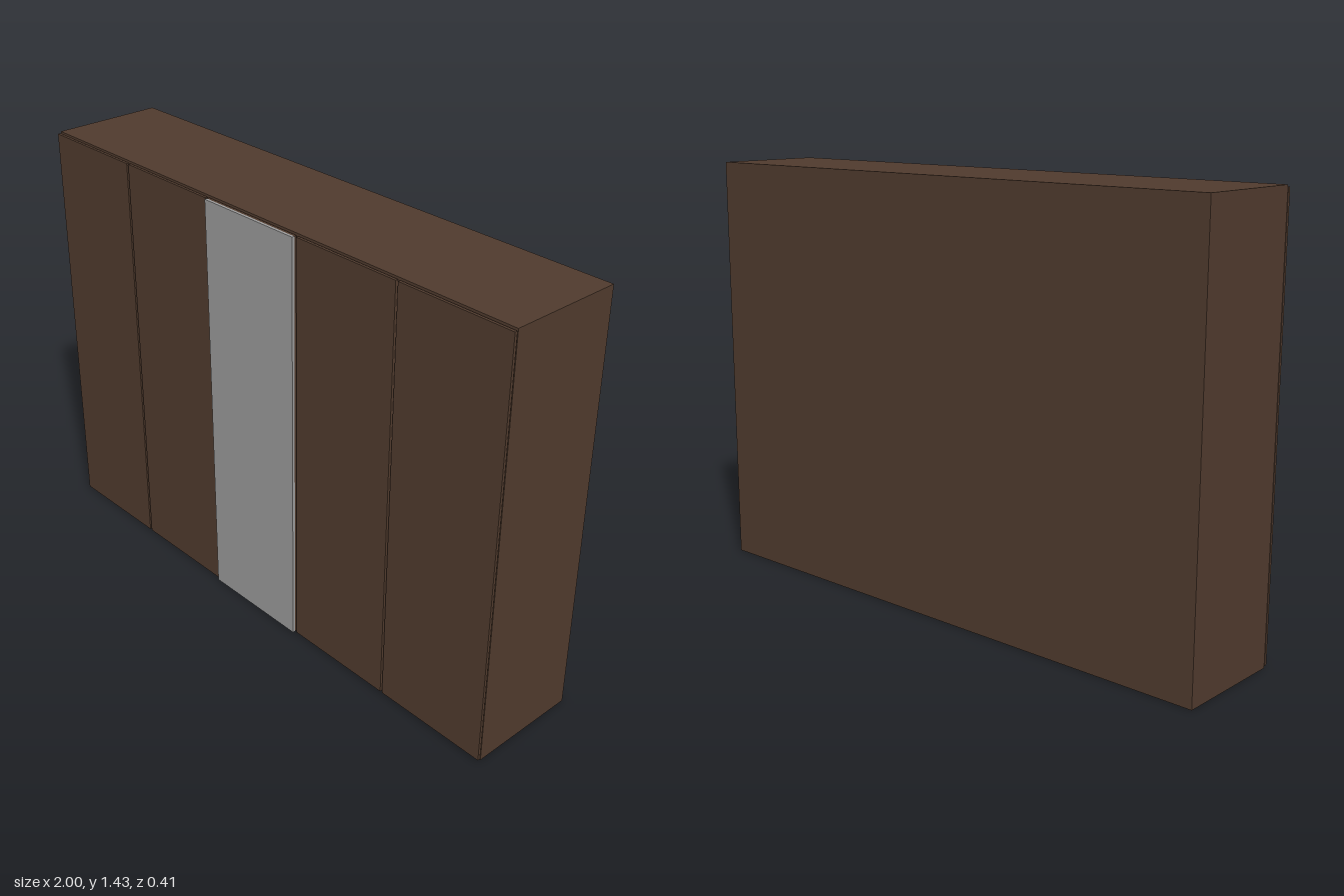
import * as THREE from 'three';

export function createModel() {
  const wood = new THREE.MeshStandardMaterial({ color: 0x4f3a2d });
  wood.name = 'dark brown wood';
  const glass = new THREE.MeshStandardMaterial({ color: 0x9a9a9a });
  glass.name = 'grey mirror';

  const group = new THREE.Group();
  group.name = 'wardrobe';

  // Box given by its lower and upper corners
  function box(name, material, [x0, y0, z0], [x1, y1, z1]) {
    const mesh = new THREE.Mesh(new THREE.BoxGeometry(x1 - x0, y1 - y0, z1 - z0), material);
    mesh.position.set((x0 + x1) / 2, (y0 + y1) / 2, (z0 + z1) / 2);
    mesh.name = name;
    group.add(mesh);
  }

  // Cabinet body
  const height = 1.432;
  box('cabinet', wood, [-1, 0, -0.203], [1, height, 0.182]);

  // Five doors with narrow gaps, set slightly off the cabinet
  const doors = [[-1, -0.608], [-0.6, -0.208], [-0.2, 0.192], [0.2, 0.592], [0.6, 1]];
  doors.forEach(([x0, x1], i) => {
    box('door' + (i + 1), wood, [x0, 0.006, 0.185], [x1, height - 0.006, 0.194]);
  });

  // Mirror covering the middle door
  box('mirror', glass, [-0.2, 0.006, 0.194], [0.192, height - 0.006, 0.203]);

  return group;
}
